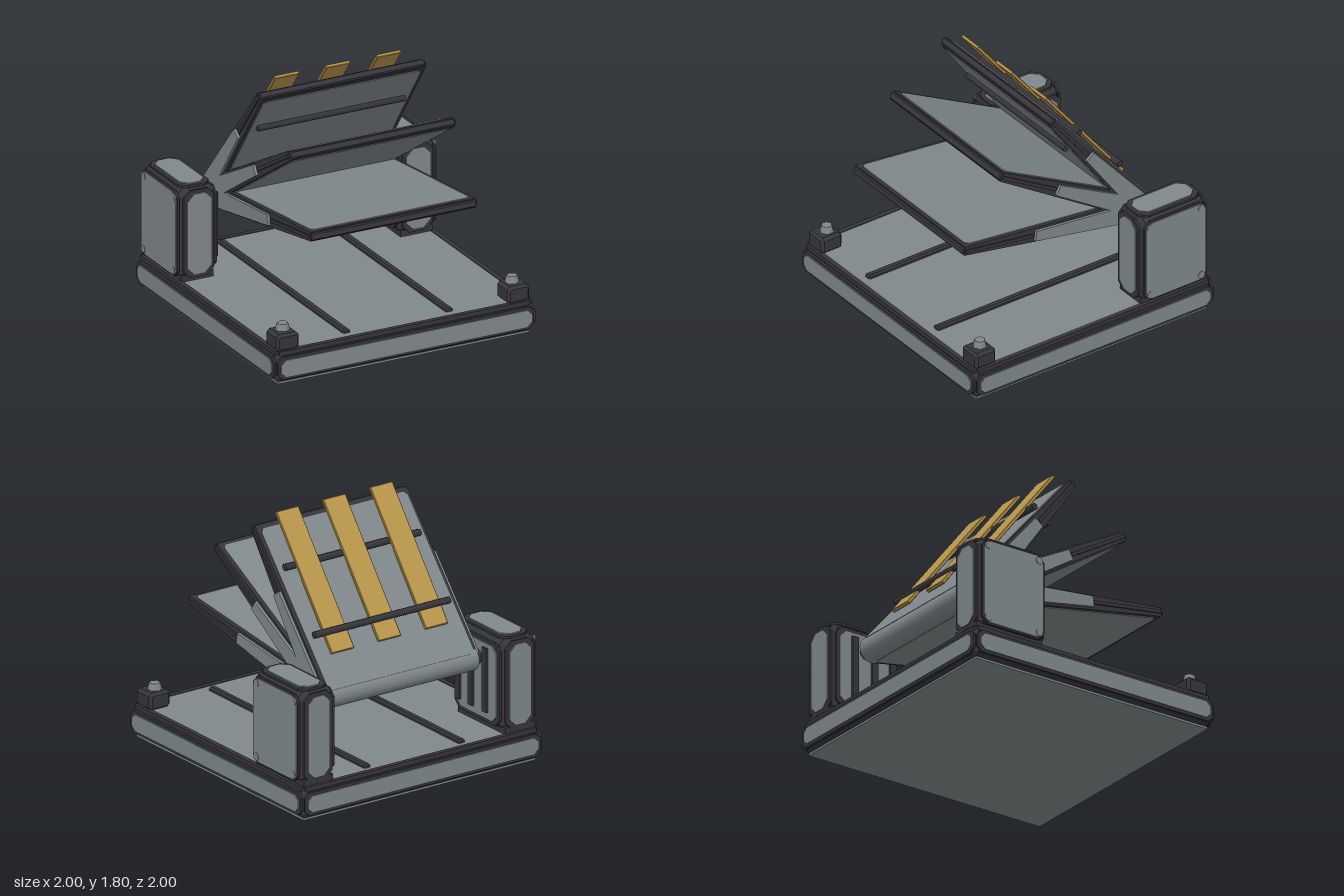
import * as THREE from 'three';

const steel = new THREE.MeshStandardMaterial({ color: 0x80888b });
steel.name = 'steel grey';
const dark = new THREE.MeshStandardMaterial({ color: 0x36353b });
dark.name = 'dark trim';
const gold = new THREE.MeshStandardMaterial({ color: 0xb8954a });
gold.name = 'gold strip';

const H = Math.PI / 2;

function add(parent, name, geometry, material, x = 0, y = 0, z = 0) {
  const mesh = new THREE.Mesh(geometry, material);
  mesh.name = name;
  mesh.position.set(x, y, z);
  parent.add(mesh);
  return mesh;
}

function group(parent, name, x = 0, y = 0, z = 0) {
  const g = new THREE.Group();
  g.name = name;
  g.position.set(x, y, z);
  parent.add(g);
  return g;
}

const box = (w, h, d) => new THREE.BoxGeometry(w, h, d);

// Rectangle with cut corners, centred on the origin
function octagon(w, h, c) {
  const a = w / 2, b = h / 2;
  return new THREE.Shape([
    [-a + c, -b], [a - c, -b], [a, -b + c], [a, b - c],
    [a - c, b], [-a + c, b], [-a, b - c], [-a, -b + c],
  ].map(([x, y]) => new THREE.Vector2(x, y)));
}

// Flat cut-corner plate, from z = 0 to z = t
const plate = (w, h, c, t) =>
  new THREE.ExtrudeGeometry(octagon(w, h, c), { depth: t, bevelEnabled: false });

// Box with every edge chamfered
function chamferBox(w, h, d, c) {
  const geo = new THREE.ExtrudeGeometry(octagon(w - 2 * c, h - 2 * c, c * 0.6), {
    depth: d - 2 * c, bevelEnabled: true, bevelSegments: 1, bevelSize: c, bevelThickness: c,
  });
  return geo.translate(0, 0, -(d - 2 * c) / 2);
}

// Raised dark frame carrying a grey panel, facing local +z
function framedPanel(parent, name, w, h, c, [x, y, z], [rx, ry], edge = 0.025) {
  const g = group(parent, name, x, y, z);
  g.rotation.set(rx, ry, 0);
  add(g, 'panelFrame', plate(w + 2 * edge, h + 2 * edge, c, 0.016), dark);
  add(g, 'panelFace', plate(w, h, c, 0.008), steel, 0, 0, 0.016);
  return g;
}

// Bar along x
const rod = (r, length, sides) => new THREE.CylinderGeometry(r, r, length, sides).rotateZ(H);

function buildBase(root) {
  const base = group(root, 'base');
  add(base, 'baseBody', chamferBox(1.952, 0.215, 1.952, 0.025), dark, 0, 0.12, 0);
  add(base, 'baseUnderside', box(1.91, 0.015, 1.91), steel, 0, 0.0075, 0);
  add(base, 'baseDeck', box(1.9, 0.008, 1.9), steel, 0, 0.228, 0);
  for (let i = 0; i < 4; i++) {
    const side = group(base, 'baseSide');
    side.rotation.y = i * H;
    framedPanel(side, 'sidePanel', 1.9, 0.12, 0.035, [0, 0.12, 0.976], [0, 0], 0.02);
    add(side, 'deckRim', box(1.9, 0.03, 0.035), dark, 0, 0.222, 0.955);
  }
  for (const s of [-1, 1]) {
    add(base, 'deckRail', chamferBox(0.055, 0.04, 1.78, 0.01), dark, 0.39 * s, 0.237, -0.01);
    // Front corner blocks with hex bolts
    add(base, 'cornerBlock', chamferBox(0.17, 0.125, 0.17, 0.018), dark, 0.875 * s, 0.288, 0.875);
    add(base, 'cornerBolt', new THREE.CylinderGeometry(0.038, 0.052, 0.05, 6), steel, 0.87 * s, 0.373, 0.865);
  }
}

function buildPillar(root, s) {
  const p = group(root, s > 0 ? 'leftPillar' : 'rightPillar', 0.83 * s, 0.575, -0.67);
  add(p, 'pillarBody', chamferBox(0.27, 0.65, 0.53, 0.03), dark);
  add(p, 'pillarFoot', box(0.24, 0.06, 0.54), dark, 0, -0.325, -0.01);
  framedPanel(p, 'frontPanel', 0.18, 0.58, 0.05, [0, 0, 0.265], [0, 0]);
  framedPanel(p, 'backPanel', 0.18, 0.58, 0.05, [0, 0, -0.265], [0, Math.PI]);
  framedPanel(p, 'topPanel', 0.18, 0.45, 0.05, [0, 0.325, 0], [-H, 0]);
  framedPanel(p, 'outerPanel', 0.49, 0.6, 0.05, [0.135 * s, 0, 0], [0, s * H], 0.012);
  framedPanel(p, 'innerPanel', 0.46, 0.54, 0.05, [-0.135 * s, 0, 0], [0, -s * H]);
  // Bolts on the outer corners
  for (const y of [-0.265, 0.265]) {
    for (const z of [-0.21, 0.21]) {
      add(p, 'panelBolt', rod(0.028, 0.03, 8), steel, 0.148 * s, y, z);
    }
  }
  // Vent slats on the inner face
  for (const z of [-0.11, 0.05, 0.2]) {
    add(p, 'ventSlat', box(0.03, 0.46, 0.05), dark, -0.16 * s, 0.01, z);
  }
}

// Tapered slab: profile drawn along +z, extruded across x
function taperedSlab(z0, z1, h0, h1, width) {
  const shape = new THREE.Shape([
    new THREE.Vector2(z0, -h0), new THREE.Vector2(z1, -h1),
    new THREE.Vector2(z1, h1), new THREE.Vector2(z0, h0),
  ]);
  const geo = new THREE.ExtrudeGeometry(shape, { depth: width, bevelEnabled: false });
  return geo.translate(0, 0, -width / 2).rotateY(-H);
}

function buildLeaf(hinge, name, length, degrees) {
  const leaf = group(hinge, name);
  leaf.rotation.x = -THREE.MathUtils.degToRad(degrees);
  const half = (z) => 0.088 - 0.056 * z / length;
  add(leaf, 'leafBody', taperedSlab(0, length - 0.015, half(0), half(length), 1.25), dark);
  add(leaf, 'leafTip', chamferBox(1.25, 0.05, 0.03, 0.008), dark, 0, 0, length - 0.012);

  // Grey skins above and below
  const tilt = Math.atan(0.056 / length);
  for (const turn of [0, Math.PI]) {
    const side = group(leaf, turn ? 'lowerSkin' : 'upperSkin');
    side.rotation.z = turn;
    const skin = add(side, 'skinPlate', plate(1.2, length - 0.04, 0.025, 0.006).rotateX(-H),
      steel, 0, half(length / 2 - 0.02), length / 2 - 0.02);
    skin.rotation.x = tilt;
  }
  // Grey cheeks over the root half, edged by slim rails
  const end = length * 0.61;
  for (const s of [-1, 1]) {
    add(leaf, 'rootCheek', taperedSlab(0, end, half(0) - 0.014, half(end) - 0.016, 0.02), steel, 0.638 * s);
    add(leaf, 'sideRail', box(0.012, 0.024, length - end - 0.03), dark, 0.63 * s, 0, (length + end) / 2);
  }
  return leaf;
}

function buildLeaves(root) {
  const hinge = group(root, 'hinge', 0, 0.725, -0.68);
  add(hinge, 'hingeBarrel', rod(0.091, 1.25, 40), steel);
  add(hinge, 'hingeAxle', rod(0.055, 1.42, 16), dark);
  buildLeaf(hinge, 'lowerLeaf', 1.52, 8.5);
  buildLeaf(hinge, 'middleLeaf', 1.39, 30.5);
  const top = buildLeaf(hinge, 'upperLeaf', 1.245, 51.9);

  // Gold strips and the bars that hold them
  for (const x of [-0.387, 0, 0.387]) {
    add(top, 'goldStrip', chamferBox(0.185, 0.024, 1.035, 0.004), gold, x - 0.002, 0.098, 0.76);
  }
  add(top, 'lowerBar', rod(0.024, 1.115, 8), dark, 0, 0.108, 0.394);
  add(top, 'upperBar', rod(0.024, 1.115, 8), dark, 0, 0.076, 0.9);
  add(top, 'undersideBar', rod(0.024, 1.115, 8), dark, 0, -0.062, 0.9);
}

export function createModel() {
  const root = new THREE.Group();
  root.name = 'foldingLeafMachine';
  buildBase(root);
  for (const s of [-1, 1]) buildPillar(root, s);
  buildLeaves(root);
  return root;
}
